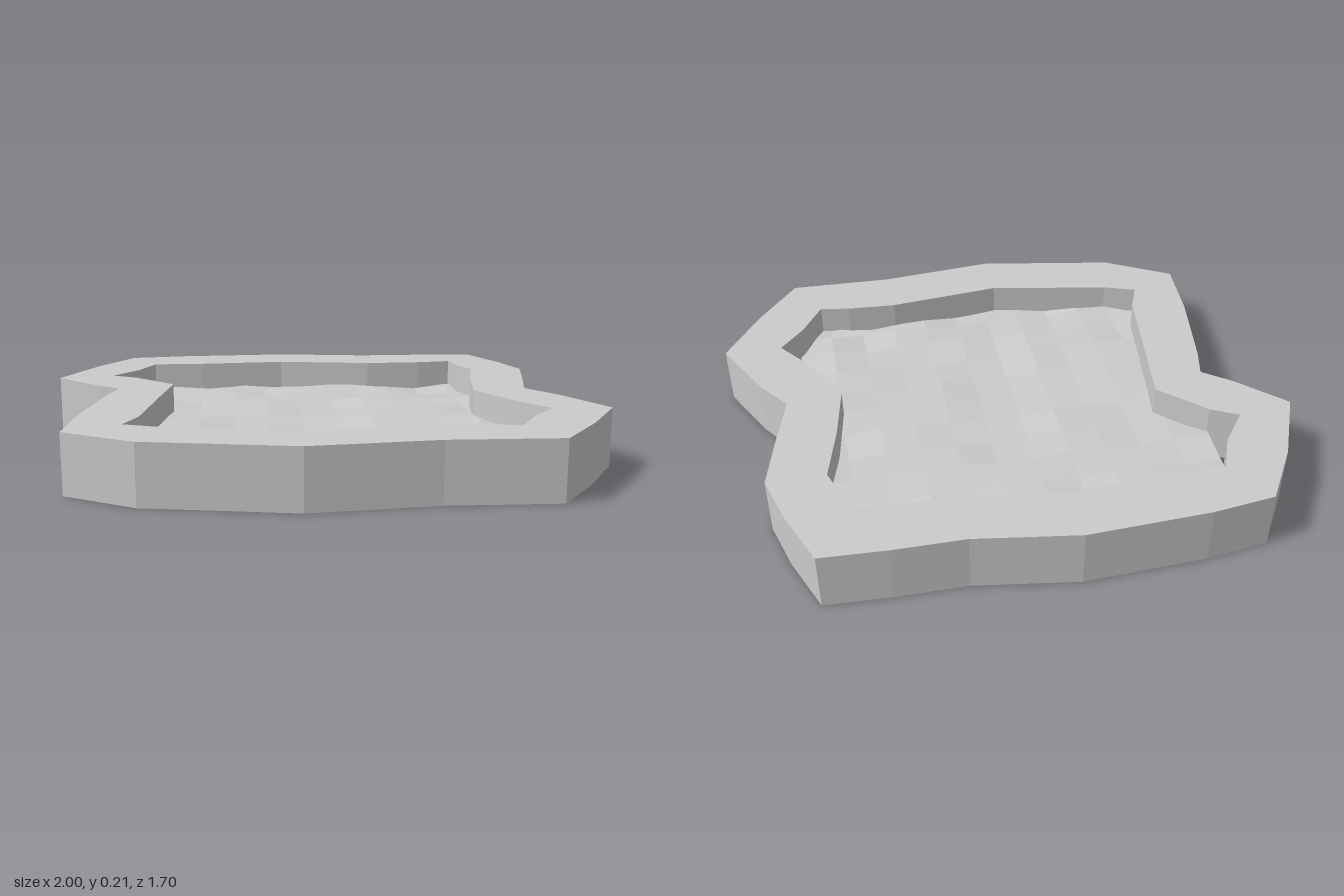
import * as THREE from 'three';

// Outlines as x, z pairs, clockwise seen from above, starting at the back left
const OUTER = [
  -0.75, -0.8, -0.53, -0.83, -0.1, -0.85, 0.26, -0.795, 0.51, -0.795, 0.735, -0.785,
  0.82, -0.585, 0.875, -0.405, 0.83, -0.185, 0.785, 0.01, 0.88, 0.145, 1, 0.38,
  0.865, 0.605, 0.715, 0.81, 0.33, 0.803, -0.105, 0.85, -0.375, 0.8, -0.615, 0.757,
  -0.86, 0.61, -0.835, 0.35, -0.775, 0.02, -0.745, -0.095, -0.84, -0.17,
  -1, -0.335, -0.88, -0.595,
];
const INNER = [
  -0.645, -0.625, -0.445, -0.625, -0.11, -0.65, 0.26, -0.59, 0.48, -0.595, 0.615, -0.615,
  0.63, -0.515, 0.67, -0.405, 0.62, -0.185, 0.585, 0.04, 0.705, 0.26, 0.79, 0.375,
  0.7, 0.485, 0.62, 0.625, 0.51, 0.605, 0.325, 0.595, -0.1, 0.645, -0.335, 0.6,
  -0.555, 0.56, -0.675, 0.515, -0.63, 0.405, -0.58, 0.06, -0.545, -0.165,
  -0.7, -0.32, -0.795, -0.37, -0.7, -0.495,
];
const HEIGHT = 0.21;
const WATER_LEVEL = 0.105;

// Shape y becomes -z once the extrusion is laid flat
function toPoints(flat) {
  const points = [];
  for (let i = 0; i < flat.length; i += 2) points.push(new THREE.Vector2(flat[i], -flat[i + 1]));
  return points;
}

function seeded(seed) {
  return () => {
    seed = (seed * 16807) % 2147483647;
    return seed / 2147483647;
  };
}

// One shared normal for the two triangles of each square, so it shades as one facet
function shadeSquares(indexed) {
  const geometry = indexed.toNonIndexed();
  geometry.computeVertexNormals();
  const normals = geometry.attributes.normal;
  const a = new THREE.Vector3();
  const b = new THREE.Vector3();
  for (let i = 0; i < normals.count; i += 6) {
    a.fromBufferAttribute(normals, i);
    b.fromBufferAttribute(normals, i + 3);
    a.add(b).normalize();
    for (let k = 0; k < 6; k++) normals.setXYZ(i + k, a.x, a.y, a.z);
  }
  return geometry;
}

export function createModel() {
  const group = new THREE.Group();
  group.name = 'pond';

  // Bank: a flat ring with straight walls; the hole winds the other way
  const shape = new THREE.Shape(toPoints(OUTER));
  shape.holes.push(new THREE.Path(toPoints(INNER).reverse()));
  const bankGeometry = new THREE.ExtrudeGeometry(shape, { depth: HEIGHT, bevelEnabled: false });
  bankGeometry.rotateX(-Math.PI / 2);
  const bank = new THREE.Mesh(
    bankGeometry,
    new THREE.MeshStandardMaterial({ color: 0xcccccc, flatShading: true })
  );
  bank.name = 'bank';
  group.add(bank);

  // Water: a square sheet with small faceted ripples, halfway up the bank
  const sheet = new THREE.PlaneGeometry(1.42, 1.42, 11, 11);
  sheet.rotateX(-Math.PI / 2);
  const random = seeded(4217);
  const position = sheet.attributes.position;
  for (let i = 0; i < position.count; i++) position.setY(i, (random() - 0.5) * 0.025);
  const water = new THREE.Mesh(
    shadeSquares(sheet),
    new THREE.MeshStandardMaterial({ color: 0xcccccc, side: THREE.DoubleSide })
  );
  water.name = 'water';
  water.position.set(0.01, WATER_LEVEL, -0.015);
  group.add(water);

  return group;
}
